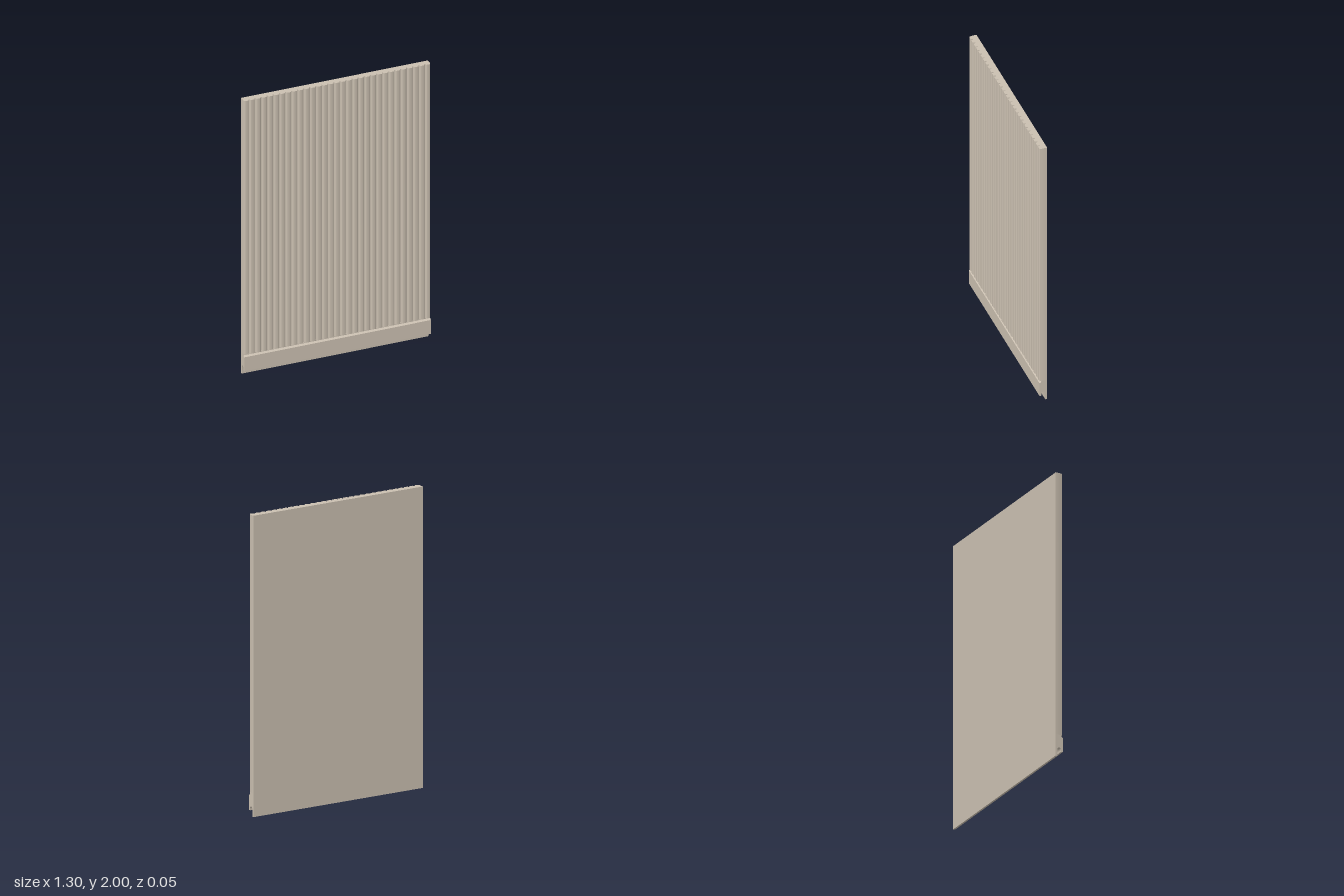
import * as THREE from 'three';
import { toCreasedNormals } from 'three/addons/utils/BufferGeometryUtils.js';

const HALF_W = 0.648, FRONT = 0.026, BACK = -0.026;
const GROOVES = 30, PITCH = 0.0421, DEPTH = 0.015, GROOVE_HALF = 0.011, FLOOR_HALF = 0.003;
const SPLIT = 0.153, TOP = 2;

// One rounded lip of a groove, from the face (t = 0) to the floor (t = 1)
function lip(steps = 5) {
  return Array.from({ length: steps + 1 }, (_, i) => {
    const a = (i / steps) * Math.PI / 2;
    return [GROOVE_HALF - (GROOVE_HALF - FLOOR_HALF) * Math.sin(a), FRONT - DEPTH * (1 - Math.cos(a))];
  });
}

// Extrudes an outline and keeps its hard corners sharp
function extrude(points, depth) {
  const shape = new THREE.Shape(points.map(([x, y]) => new THREE.Vector2(x, y)));
  const geometry = new THREE.ExtrudeGeometry(shape, { depth, bevelEnabled: false });
  return toCreasedNormals(geometry, 0.5);
}

export function createModel() {
  const group = new THREE.Group();
  group.name = 'wallPanel';
  const material = new THREE.MeshStandardMaterial({ color: 0xcabfb0 });

  // Fluted board: plan outline with rounded grooves along the front
  const down = lip();
  const up = [...down].reverse();
  const plan = [[-HALF_W, BACK], [-HALF_W, FRONT - DEPTH]];
  up.forEach(([h, z]) => plan.push([-HALF_W + h - FLOOR_HALF + 0.001, z]));
  for (let i = 0; i < GROOVES; i++) {
    const x = (i - (GROOVES - 1) / 2) * PITCH;
    down.forEach(([h, z]) => plan.push([x - h, z]));
    up.forEach(([h, z]) => plan.push([x + h, z]));
  }
  down.forEach(([h, z]) => plan.push([HALF_W - h + FLOOR_HALF - 0.001, z]));
  plan.push([HALF_W, FRONT - DEPTH], [HALF_W, BACK]);
  const boardGeometry = extrude(plan.map(([x, z]) => [x, -z]), TOP - SPLIT);
  boardGeometry.rotateX(-Math.PI / 2).translate(0, SPLIT, 0);
  const board = new THREE.Mesh(boardGeometry, material);
  board.name = 'flutedBoard';
  group.add(board);

  // Skirting: side profile with a shadow gap above and an arched channel below
  const profile = [
    [BACK, 0], [BACK, SPLIT], [0.014, SPLIT], [0.014, 0.146],
    [0.018, 0.141], [FRONT, 0.137], [FRONT, 0.036], [0.014, 0.036], [0.014, 0.05],
  ];
  for (let i = 1; i <= 8; i++) {
    const a = (i / 8) * Math.PI;
    profile.push([0.0005 + 0.0135 * Math.cos(a), 0.05 + 0.0135 * Math.sin(a)]);
  }
  profile.push([-0.013, 0]);
  const skirtingGeometry = extrude(profile.map(([z, y]) => [-z, y]), HALF_W * 2);
  skirtingGeometry.rotateY(Math.PI / 2).translate(-HALF_W, 0, 0);
  const skirting = new THREE.Mesh(skirtingGeometry, material);
  skirting.name = 'skirting';
  group.add(skirting);

  return group;
}
